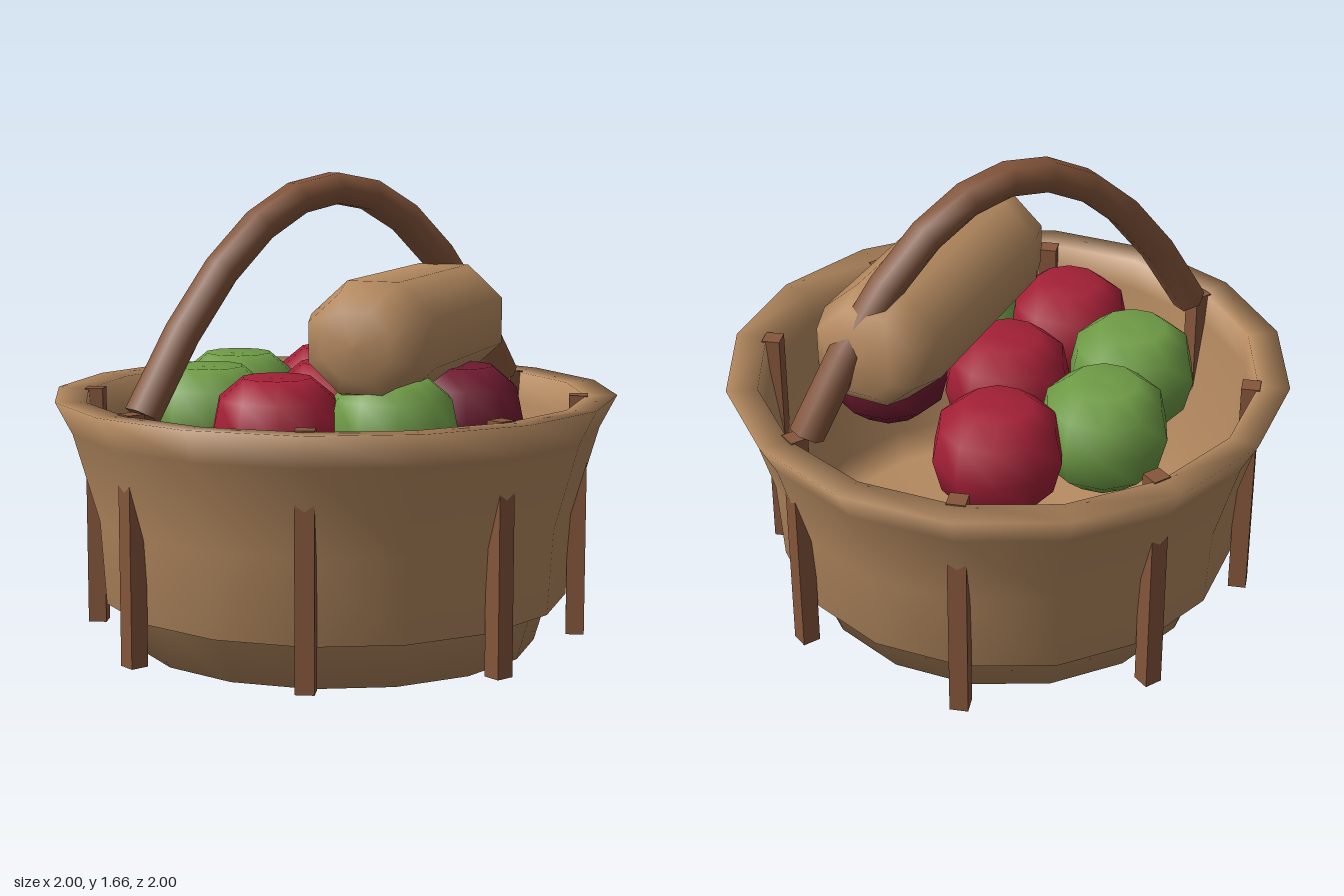
import * as THREE from 'three';

const mat = (color) => new THREE.MeshStandardMaterial({ color });
const wicker = mat(0xb58a60), wood = mat(0x85563b), crust = mat(0xb58a60);
const red = mat(0xa32036), darkRed = mat(0x701b30), green = mat(0x6f9c46);
wicker.side = THREE.DoubleSide;

const lathe = (profile, sides, start = 0) =>
  new THREE.LatheGeometry(profile.map(([r, y]) => new THREE.Vector2(r, y)), sides, start);

export function createModel() {
  const model = new THREE.Group();
  const add = (name, geometry, material, parent = model) => {
    const mesh = new THREE.Mesh(geometry, material);
    mesh.name = name;
    parent.add(mesh);
    return mesh;
  };

  // Basket: outer wall with stepped foot, broad rim, thin inner wall and floor
  add('basket', lathe([
    [0, 0], [0.72, 0], [0.77, 0.17], [0.83, 0.17], [0.85, 0.465], [0.94, 0.775], [1, 0.89],
    [0.89, 0.885], [0.88, 0.77], [0.835, 0.465], [0.77, 0.17], [0.72, 0.06], [0, 0.06],
  ], 16), wicker);

  // Eight upright posts that pass through the flaring wall
  const posts = new THREE.Group();
  posts.name = 'posts';
  model.add(posts);
  for (let i = 0; i < 8; i++) {
    const a = (i * Math.PI) / 4;
    const post = add('post', new THREE.BoxGeometry(0.065, 0.86, 0.065), wood, posts);
    post.position.set(0.865 * Math.sin(a), 0.46, 0.865 * Math.cos(a));
    post.rotation.y = a;
  }

  // Arched handle with closed ends
  const handle = new THREE.Group();
  handle.name = 'handle';
  model.add(handle);
  const arch = new THREE.QuadraticBezierCurve3(
    new THREE.Vector3(-0.82, 0.88, 0), new THREE.Vector3(0, 2.34, 0), new THREE.Vector3(0.82, 0.88, 0));
  arch.getUtoTmapping = (u) => u;
  add('handleArch', new THREE.TubeGeometry(arch, 10, 0.062, 6), wood, handle);
  for (const t of [0, 1]) {
    const cap = add('handleEnd', new THREE.CircleGeometry(0.062, 6), wood, handle);
    const end = arch.getPoint(t);
    cap.position.copy(end);
    cap.lookAt(end.clone().addScaledVector(arch.getTangent(t), t ? 1 : -1));
  }

  // Apples: one in the middle and six around it
  const apples = new THREE.Group();
  apples.name = 'apples';
  model.add(apples);
  const appleShape = lathe([
    [0, -0.18], [0.12, -0.19], [0.2, -0.12], [0.23, 0], [0.205, 0.12], [0.12, 0.19], [0, 0.18],
  ], 10);
  const addApple = (x, z, material) =>
    add('apple', appleShape, material, apples).position.set(x, 0.805, z);
  addApple(0, 0, red);
  [darkRed, green, red, green, green, red].forEach((material, i) => {
    const a = ((i + 1) * Math.PI * 2) / 7;
    addApple(0.45 * Math.cos(a), 0.45 * Math.sin(a), material);
  });

  // Loaf of bread lying across the apples
  const loaf = lathe([
    [0, -0.56], [0.13, -0.555], [0.2, -0.5], [0.24, -0.38],
    [0.24, 0.38], [0.2, 0.5], [0.13, 0.555], [0, 0.56],
  ], 8, Math.PI / 8);
  loaf.rotateZ(-Math.PI / 2).scale(1, 0.9, 1);
  const bread = add('bread', loaf, crust);
  bread.position.set(0.165, 1.12, 0.22);
  bread.rotation.y = Math.PI / 6;

  return model;
}
